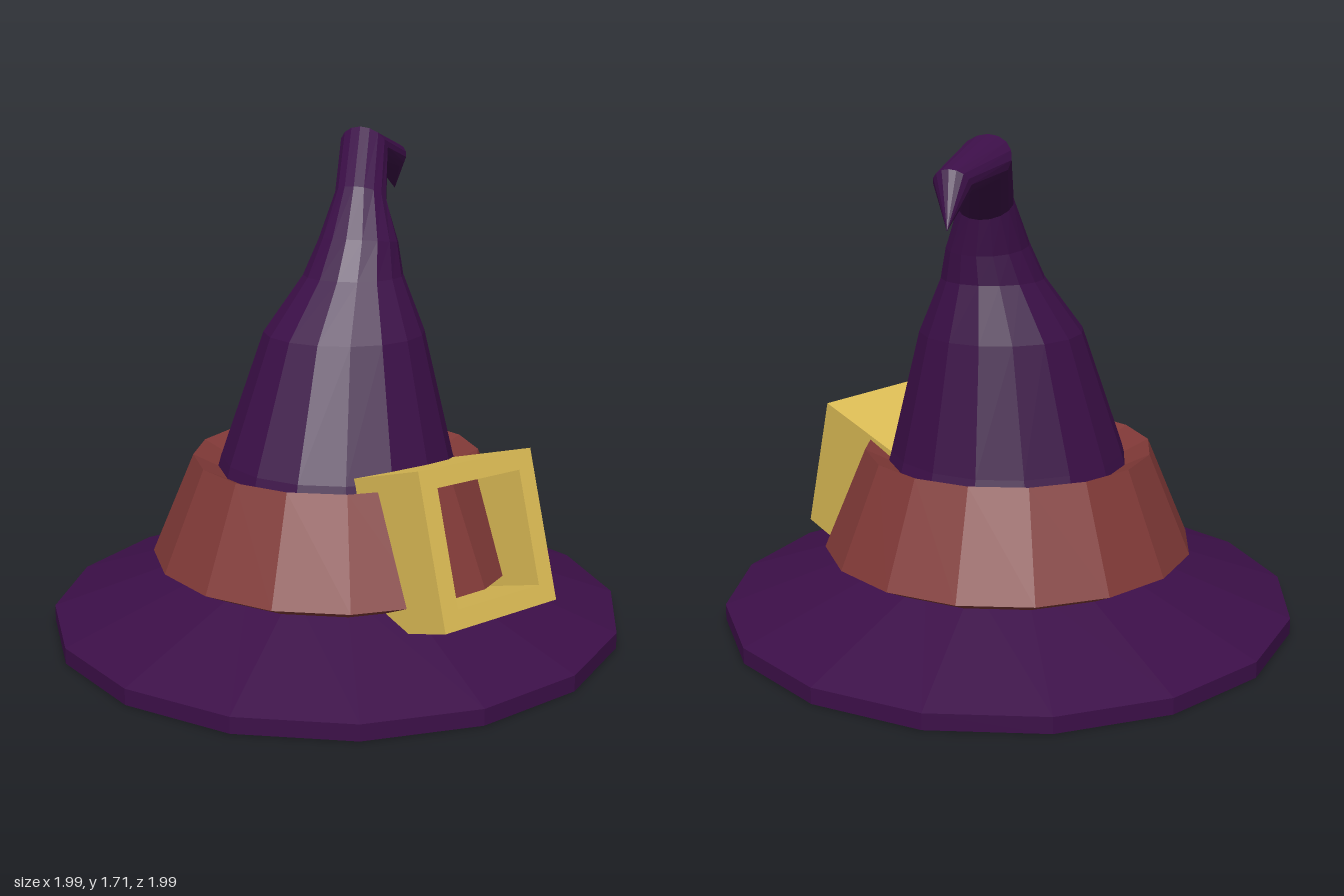
import * as THREE from 'three';

const SIDES = 16;
const TURN = THREE.MathUtils.degToRad(7.4); // shared twist of all the round parts

function material(name, color) {
  const m = new THREE.MeshStandardMaterial({ color, flatShading: true });
  m.name = name;
  return m;
}

// Faceted ring turned from [radius, height] points
function turned(name, points, mat) {
  const profile = points.map(([r, y]) => new THREE.Vector2(r, y));
  const mesh = new THREE.Mesh(new THREE.LatheGeometry(profile, SIDES, Math.PI / 2 - TURN), mat);
  mesh.name = name;
  return mesh;
}

// Skin over rings that lean towards one heading; ring = [x, y, z, radius, lean in degrees]
function leaningCone(rings) {
  const heading = TURN - Math.PI / 4;
  const h = new THREE.Vector3(Math.cos(heading), 0, Math.sin(heading));
  const v = new THREE.Vector3(-h.z, 0, h.x);
  const pos = [], index = [];
  rings.forEach(([x, y, z, r, lean], k) => {
    const a = THREE.MathUtils.degToRad(lean);
    const u = h.clone().multiplyScalar(Math.cos(a));
    u.y = -Math.sin(a);
    for (let j = 0; j < SIDES; j++) {
      const t = (j / SIDES) * Math.PI * 2;
      const p = new THREE.Vector3(x, y, z)
        .addScaledVector(u, r * Math.cos(t))
        .addScaledVector(v, r * Math.sin(t));
      pos.push(p.x, p.y, p.z);
      if (k === rings.length - 1) continue;
      const A = k * SIDES + j, B = k * SIDES + ((j + 1) % SIDES);
      index.push(A, A + SIDES, B);
      if (k < rings.length - 2) index.push(B, A + SIDES, B + SIDES);
    }
  });
  const geo = new THREE.BufferGeometry();
  geo.setAttribute('position', new THREE.Float32BufferAttribute(pos, 3));
  geo.setIndex(index);
  geo.computeVertexNormals();
  return geo;
}

function rectangle(target, w, h) {
  target.moveTo(-w / 2, -h / 2);
  target.lineTo(w / 2, -h / 2);
  target.lineTo(w / 2, h / 2);
  target.lineTo(-w / 2, h / 2);
  target.closePath();
  return target;
}

export function createModel() {
  const group = new THREE.Group();
  const purple = material('purple felt', 0x3c0f48);
  const red = material('red leather', 0x823a38);
  const gold = material('gold', 0xdcbc55);

  // Wide sloping brim with a flat underside
  group.add(turned('brim', [[0, 0], [1.005, 0], [1.005, 0.055], [0.45, 0.25]], purple));

  // Flared band with a slanted box section
  group.add(turned('band', [[0.56, 0.21], [0.65, 0.255], [0.503, 0.605], [0.413, 0.56], [0.56, 0.21]], red));

  // Crown bending over into a hooked tip
  const crown = new THREE.Mesh(leaningCone([
    [0, 0.15, 0, 0.53, 0],
    [0.005, 0.6, -0.003, 0.408, 0],
    [0.05, 1.03, -0.027, 0.282, 0],
    [0.105, 1.22, -0.052, 0.176, 0],
    [0.14, 1.335, -0.07, 0.14, 8],
    [0.187, 1.48, -0.125, 0.092, 28],
    [0.302, 1.64, -0.27, 0.089, 57],
    [0.505, 1.587, -0.386, 0.06, 127],
    [0.575, 1.46, -0.455, 0, 127],
  ]), purple);
  crown.name = 'crown';
  group.add(crown);

  // Deep square buckle leaning back against the band
  const frame = rectangle(new THREE.Shape(), 0.52, 0.512);
  frame.holes.push(rectangle(new THREE.Path(), 0.38, 0.385));
  const depth = 0.45;
  const buckleGeo = new THREE.ExtrudeGeometry(frame, { depth, bevelEnabled: false });
  buckleGeo.translate(0, 0, -depth);
  const buckle = new THREE.Mesh(buckleGeo, gold);
  buckle.name = 'buckle';
  buckle.position.set(0.13, 0.46, 0.69);
  buckle.rotation.set(THREE.MathUtils.degToRad(-17.3), TURN, 0);
  group.add(buckle);

  return group;
}
